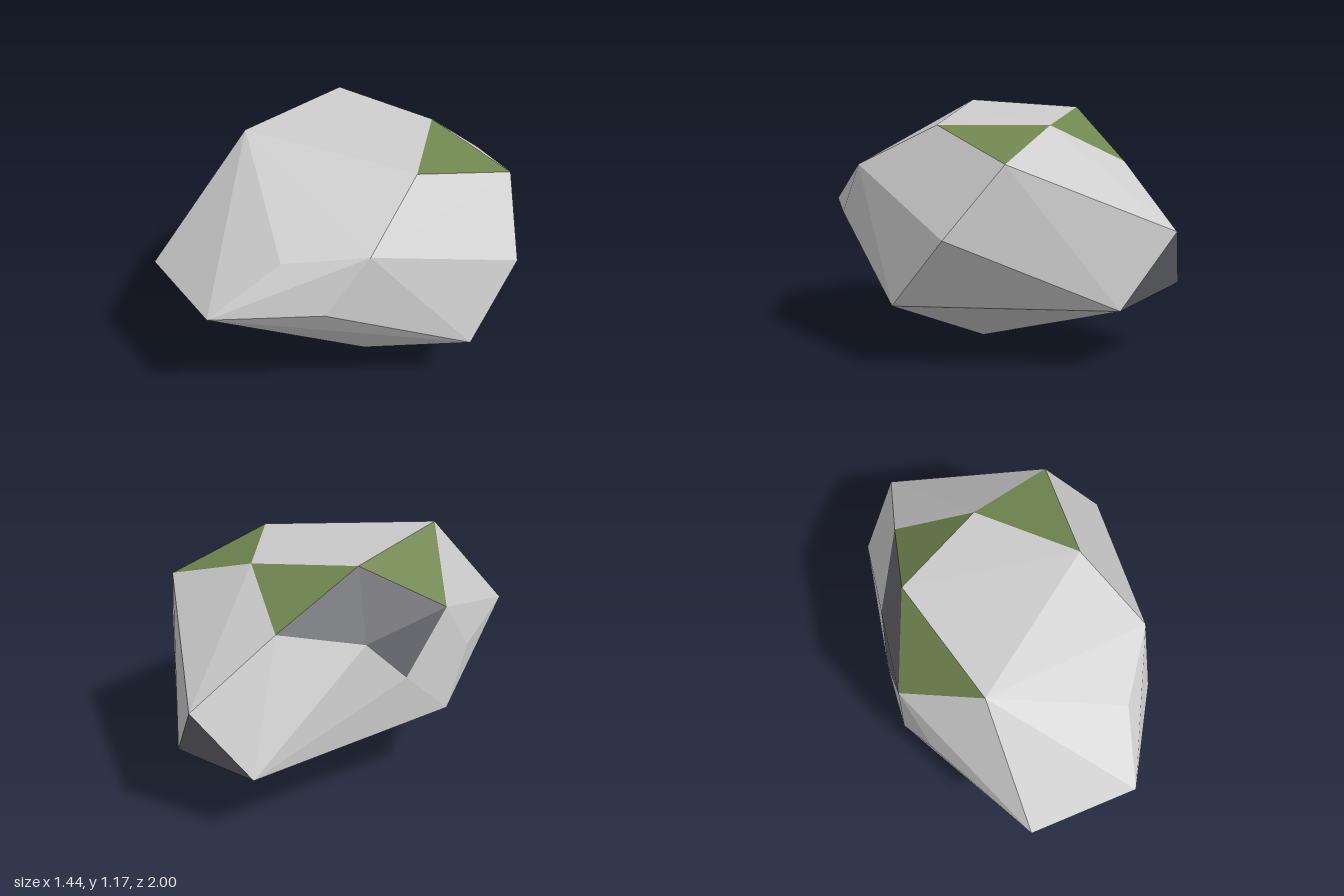
import * as THREE from 'three';
import { ConvexGeometry } from 'three/addons/geometries/ConvexGeometry.js';

// Corners of the boulder, from the crown down to the foot
const corners = {
  // crown
  A: [-0.43, 1.17, 0.36], B: [0.34, 1.09, 0.04], K: [0.07, 1.09, -0.41], L: [-0.42, 1.15, -0.28],
  // shoulders
  C: [0.42, 0.89, 0.45], D: [0.12, 0.85, 0.7], J: [0.52, 0.95, -0.45],
  M: [-0.24, 0.91, -0.64], N: [-0.69, 0.91, 0.04], O: [-0.52, 0.83, -0.36],
  // waist
  E: [-0.56, 0.63, 0.87], F: [-0.05, 0.63, 1], G: [0.32, 0.63, 0.64], I: [0.72, 0.63, -0.26],
  Q: [-0.05, 0.63, -1], X: [-0.69, 0.63, 0.27], Y: [-0.63, 0.63, -0.19],
  // underside
  H: [0.69, 0.3, 0.04], P: [-0.31, 0.34, -0.9], R: [0.18, 0.29, -0.84], S: [-0.72, 0.4, 0.04],
  T: [-0.54, 0.37, 0.4], V: [-0.17, 0.205, 0.45], W: [0.25, 0.19, 0.3], U: [-0.05, 0, 0.04],
};

// Facets that are not plain stone, named by their corners in alphabetical order
const parts = {
  stone: { color: 0xcccccc, facets: [] },
  mossPatches: { color: 0x70864f, facets: ['BJK', 'KLM', 'ALN'] },
  darkPatches: { color: 0x66676d, facets: ['LMO', 'LNO', 'NOY', 'PQR', 'UVW'] },
};

export function createModel() {
  const group = new THREE.Group();
  group.name = 'boulder';

  const names = Object.keys(corners);
  const points = names.map((n) => new THREE.Vector3(...corners[n]));
  const hull = new ConvexGeometry(points).getAttribute('position');

  // Sort the hull's facets into the coloured parts
  const buckets = {};
  for (const name in parts) buckets[name] = [];
  const v = new THREE.Vector3();
  for (let i = 0; i < hull.count; i += 3) {
    const coords = [];
    let key = [];
    for (let j = 0; j < 3; j++) {
      v.fromBufferAttribute(hull, i + j);
      coords.push(v.x, v.y, v.z);
      key.push(names[points.findIndex((p) => p.distanceTo(v) < 1e-3)]);
    }
    key = key.sort().join('');
    const part = Object.keys(parts).find((n) => parts[n].facets.includes(key)) || 'stone';
    buckets[part].push(...coords);
  }

  // One flat-shaded mesh per colour
  for (const name in parts) {
    const geometry = new THREE.BufferGeometry();
    geometry.setAttribute('position', new THREE.Float32BufferAttribute(buckets[name], 3));
    geometry.computeVertexNormals();
    const material = new THREE.MeshStandardMaterial({ color: parts[name].color, flatShading: true });
    const mesh = new THREE.Mesh(geometry, material);
    mesh.name = name;
    group.add(mesh);
  }
  return group;
}
